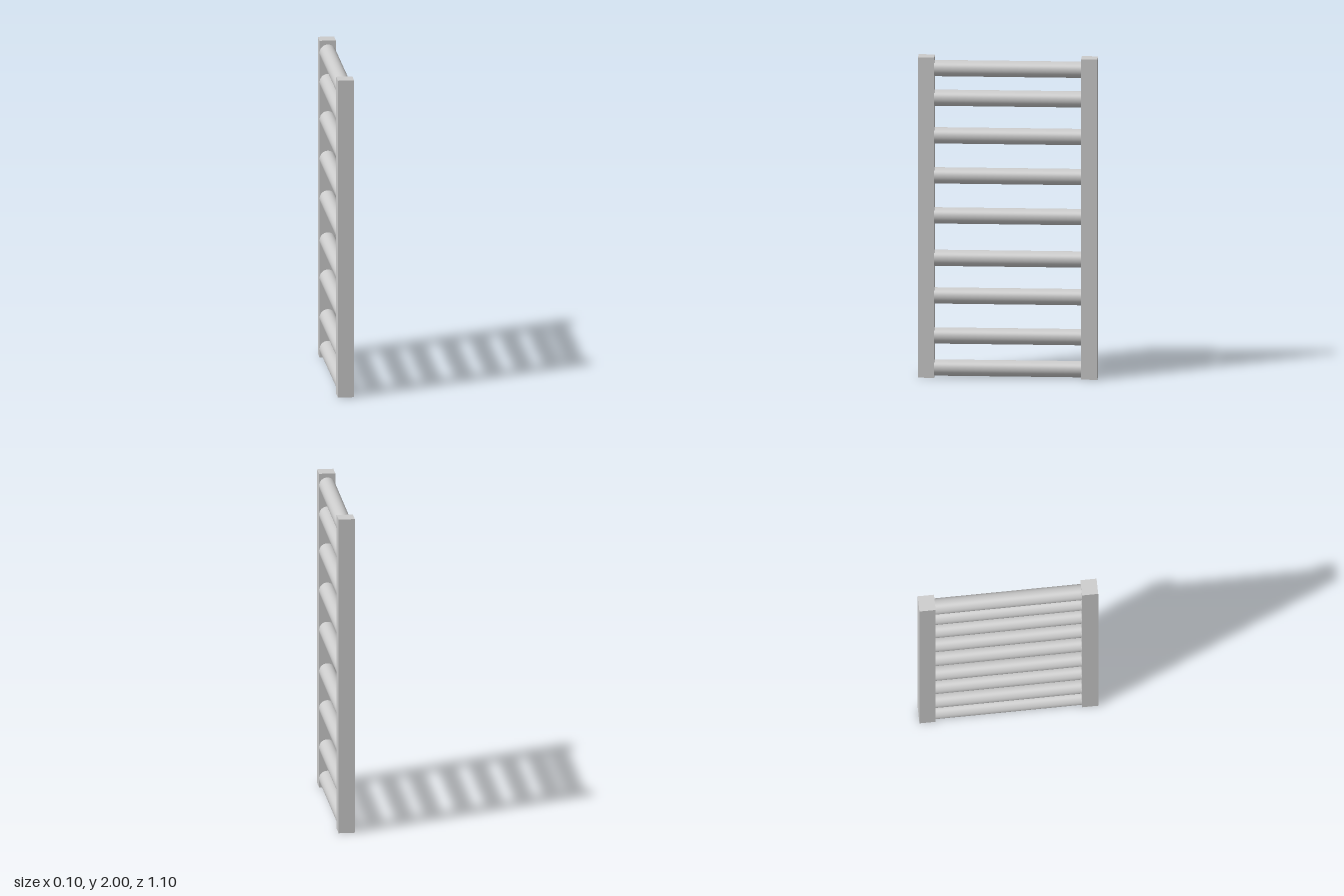
import * as THREE from 'three';

const HEIGHT = 2;
const RAIL = 0.1; // square rail section
const RAIL_Z = 0.5; // rail centre distance from the middle
const RUNG_RADIUS = 0.05;
const RUNG_HEIGHTS = [0.055, 0.255, 0.505, 0.74, 1.005, 1.255, 1.505, 1.74, 1.925];

export function createModel() {
  const group = new THREE.Group();
  group.name = 'ladder';
  const material = new THREE.MeshStandardMaterial({ color: 0xcccccc });

  // Two upright square rails, mirrored front to back
  const railGeometry = new THREE.BoxGeometry(RAIL, HEIGHT, RAIL);
  for (const [name, side] of [['frontRail', 1], ['backRail', -1]]) {
    const rail = new THREE.Mesh(railGeometry, material);
    rail.name = name;
    rail.position.set(0, HEIGHT / 2, side * RAIL_Z);
    group.add(rail);
  }

  // Round rungs spanning the gap between the rails
  const rungLength = 2 * RAIL_Z - RAIL;
  const rungGeometry = new THREE.CylinderGeometry(RUNG_RADIUS, RUNG_RADIUS, rungLength, 48);
  rungGeometry.rotateX(Math.PI / 2);
  RUNG_HEIGHTS.forEach((y, i) => {
    const rung = new THREE.Mesh(rungGeometry, material);
    rung.name = `rung${i + 1}`;
    rung.position.y = y;
    group.add(rung);
  });

  return group;
}
